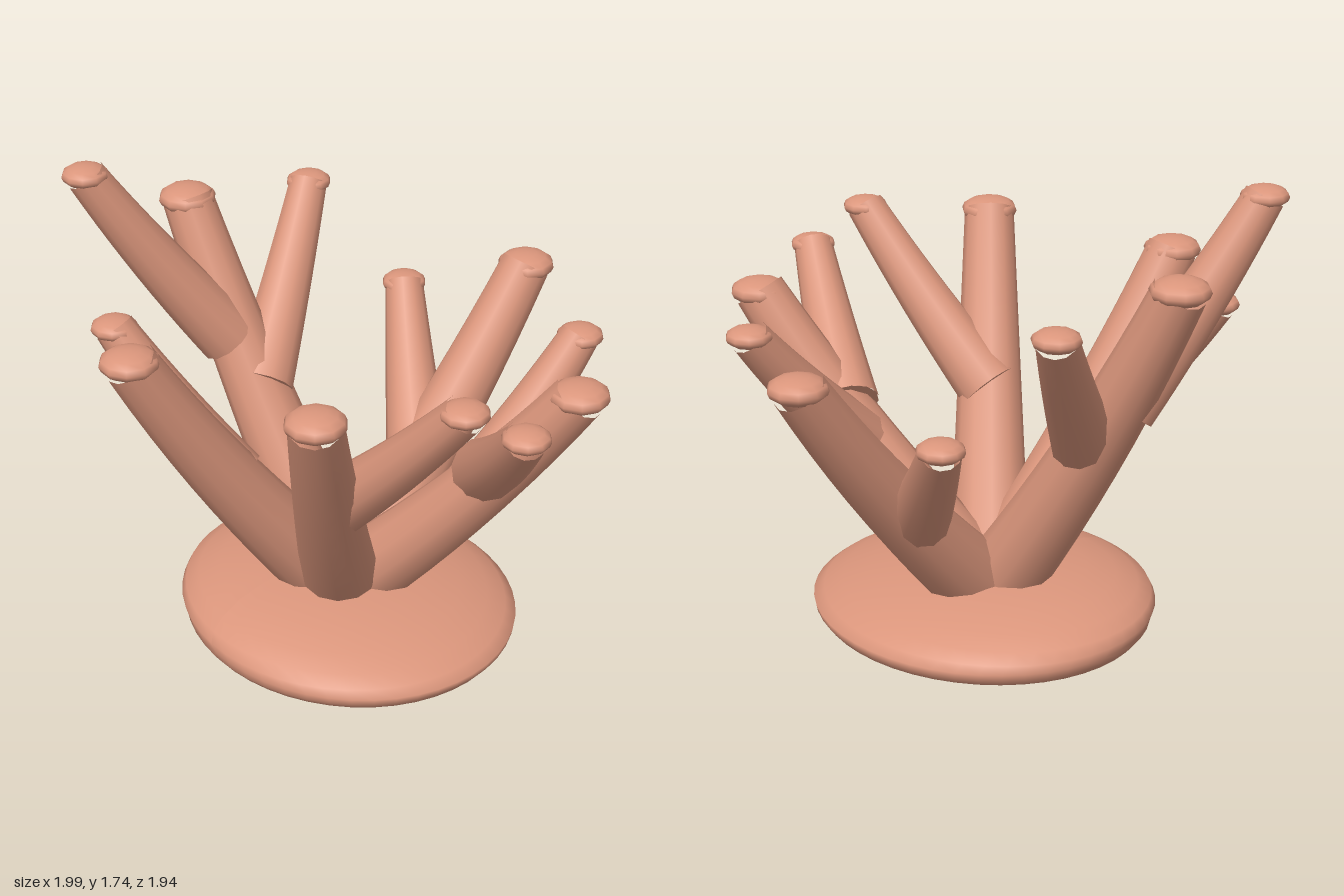
import * as THREE from 'three';

const coral = new THREE.MeshStandardMaterial({ color: 0xdb967c });
coral.name = 'coral pink';

const V = (p) => new THREE.Vector3(...p);

function add(parent, name, geometry) {
  const mesh = new THREE.Mesh(geometry, coral);
  mesh.name = name;
  parent.add(mesh);
  return mesh;
}

// Tapered, slightly bowed branch with a flattened round tip
function branch(parent, name, from, to, r0, r1, capR, bow) {
  const group = new THREE.Group();
  group.name = name;
  parent.add(group);
  const a = V(from), b = V(to);
  const mid = a.clone().lerp(b, 0.5);
  const out = new THREE.Vector3(b.x - a.x, 0, b.z - a.z).normalize();
  mid.addScaledVector(out, bow * 2).y -= bow;
  const curve = new THREE.QuadraticBezierCurve3(a, mid, b);

  const rings = 10, sides = 12;
  const stem = new THREE.TubeGeometry(curve, rings, 1, sides, false);
  const pos = stem.attributes.position, p = new THREE.Vector3();
  for (let i = 0; i < pos.count; i++) {
    const t = Math.floor(i / (sides + 1)) / rings;
    const c = curve.getPointAt(t);
    p.fromBufferAttribute(pos, i).sub(c).multiplyScalar(r0 + (r1 - r0) * t).add(c);
    pos.setXYZ(i, p.x, p.y, p.z);
  }
  add(group, name + 'Stem', stem);

  // disc closing the lower end
  const end = add(group, name + 'End', new THREE.CircleGeometry(r0, sides));
  end.position.copy(a);
  end.lookAt(a.clone().sub(curve.getTangentAt(0)));

  const tip = add(group, name + 'Tip', new THREE.SphereGeometry(capR, 10, 8));
  tip.scale.y = 0.46;
  tip.position.copy(b);
}

export function createModel() {
  const model = new THREE.Group();
  model.name = 'branchingCoral';

  // Base: flat-bottomed pebble whose crown leans toward the front right
  const profile = [
    [0, 0], [0.55, 0], [0.6, 0.004], [0.635, 0.02], [0.655, 0.045], [0.66, 0.07], [0.645, 0.1],
    [0.6, 0.133], [0.52, 0.165], [0.41, 0.194], [0.28, 0.214], [0.14, 0.225], [0, 0.228],
  ].map(([r, y]) => new THREE.Vector2(r, y));
  const base = new THREE.LatheGeometry(profile, 48);
  const pos = base.attributes.position;
  for (let i = 0; i < pos.count; i++) {
    const lean = Math.max(0, pos.getY(i) - 0.07) / 0.16;
    pos.setX(i, pos.getX(i) * 1.01 - 0.05 - 0.1 * lean);
    pos.setZ(i, pos.getZ(i) * 0.92 + 0.045 + 0.09 * lean);
  }
  base.computeVertexNormals();
  add(model, 'base', base);

  // Main branches fan out from one root
  const root = [-0.1, 0.1, 0.04];
  const mains = [
    ['frontBranch', [-0.19, 1.295, 0.86]],
    ['frontLeftBranch', [0.56, 1.325, 0.61]],
    ['backLeftBranch', [0.72, 1.17, -0.38]],
    ['backBranch', [-0.17, 1.165, -0.87]],
    ['rightBranch', [-0.89, 1.46, 0.18]],
  ];
  for (const [name, tip] of mains) branch(model, name, root, tip, 0.155, 0.095, 0.108, 0.03);

  // Side branches fork off the main ones
  const forks = [
    ['frontFork', [-0.18, 0.69, 0.46], [-0.57, 1.215, 0.7]],
    ['frontLeftFork', [0.25, 0.74, 0.34], [0.83, 1.355, 0.21]],
    ['leftFork', [0.41, 0.77, -0.22], [0.905, 1.225, 0.01]],
    ['backLeftFork', [0.34, 0.63, -0.2], [0.37, 1.155, -0.68]],
    ['backFork', [-0.14, 0.52, -0.34], [-0.58, 1.0, -0.6]],
    ['backRightFork', [-0.52, 0.81, 0.11], [-0.85, 1.4, -0.34]],
    ['frontRightFork', [-0.65, 0.98, 0.17], [-0.84, 1.69, 0.63]],
  ];
  for (const [name, from, tip] of forks) branch(model, name, from, tip, 0.12, 0.073, 0.086, 0.012);

  return model;
}
